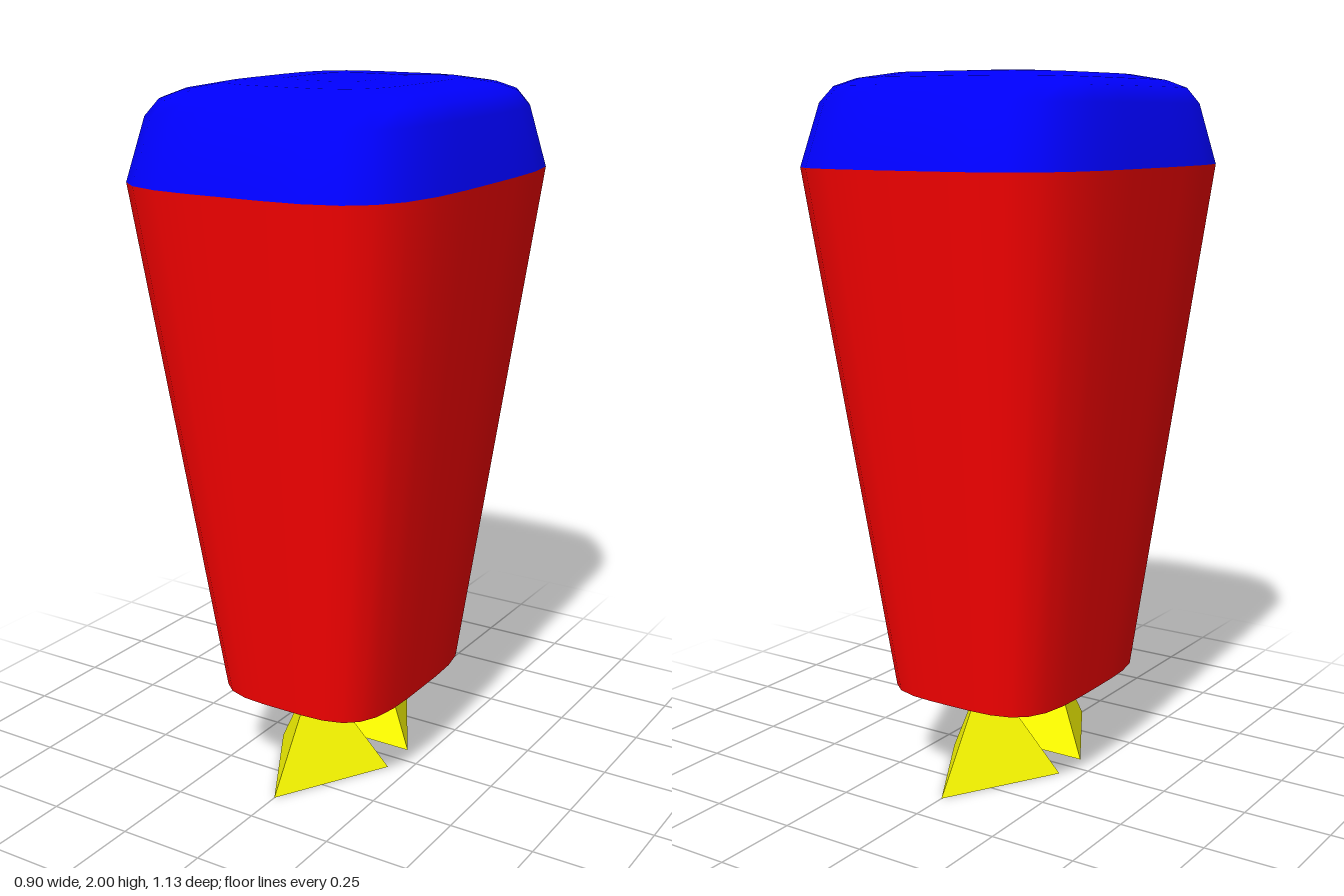
import * as THREE from 'three';

const SEGMENTS = 8; // per side of the squarish cross-section
const HALF_X = 0.45, HALF_Z = 0.566;

// Rounded-square outline, counter-clockwise from above, unit half-size
function outline() {
  const points = [];
  for (let side = 0; side < 4; side++) {
    const a = side * Math.PI / 2, c = Math.cos(a), s = Math.sin(a);
    for (let i = 0; i < SEGMENTS; i++) {
      const t = -1 + 2 * i / SEGMENTS;
      const k = Math.pow(1 + t ** 4, -0.25);
      points.push([(c - t * s) * k, -(s + t * c) * k]);
    }
  }
  return points;
}

// Skin through scaled copies of the outline; rings are [scale, y]
function loft(rings) {
  const ring = outline(), n = ring.length;
  const positions = [], index = [];
  rings.forEach(([scale, y], r) => {
    ring.forEach(([x, z], i) => {
      positions.push(x * HALF_X * scale, y, z * HALF_Z * scale);
      if (r === 0) return;
      const a = (r - 1) * n + i, b = (r - 1) * n + (i + 1) % n;
      index.push(a, b, b + n, a, b + n, a + n);
    });
  });
  const geometry = new THREE.BufferGeometry();
  geometry.setAttribute('position', new THREE.Float32BufferAttribute(positions, 3));
  geometry.setIndex(index);
  geometry.computeVertexNormals();
  return geometry;
}

function addMesh(parent, name, geometry, color, flatShading = false) {
  const material = new THREE.MeshStandardMaterial({ color, flatShading, side: THREE.DoubleSide });
  const mesh = new THREE.Mesh(geometry, material);
  mesh.name = name;
  parent.add(mesh);
  return mesh;
}

export function createModel() {
  const model = new THREE.Group();
  model.name = 'model';

  // Tapered body, open underneath
  addMesh(model, 'body', loft([[0.6, 0.26], [1, 1.745]]), 0xff0000);

  // Domed cap with a flat top
  const capProfile = [[1, 0], [0.91, 0.66], [0.845, 0.83], [0.74, 0.914], [0.56, 0.975], [0.28, 0.998], [0, 1]];
  addMesh(model, 'cap', loft(capProfile.map(([s, h]) => [s, 1.745 + h * 0.255])), 0x0000ff);

  // Three-sided hollow feet, one pointing forward and one back
  const height = 0.315;
  for (const dir of [1, -1]) {
    const foot = addMesh(model, dir > 0 ? 'frontFoot' : 'backFoot',
      new THREE.ConeGeometry(0.217, height, 3, 1, true), 0xffff00, true);
    foot.position.set(0, height / 2, dir * 0.168);
    foot.rotation.y = dir > 0 ? 0 : Math.PI;
  }
  return model;
}
